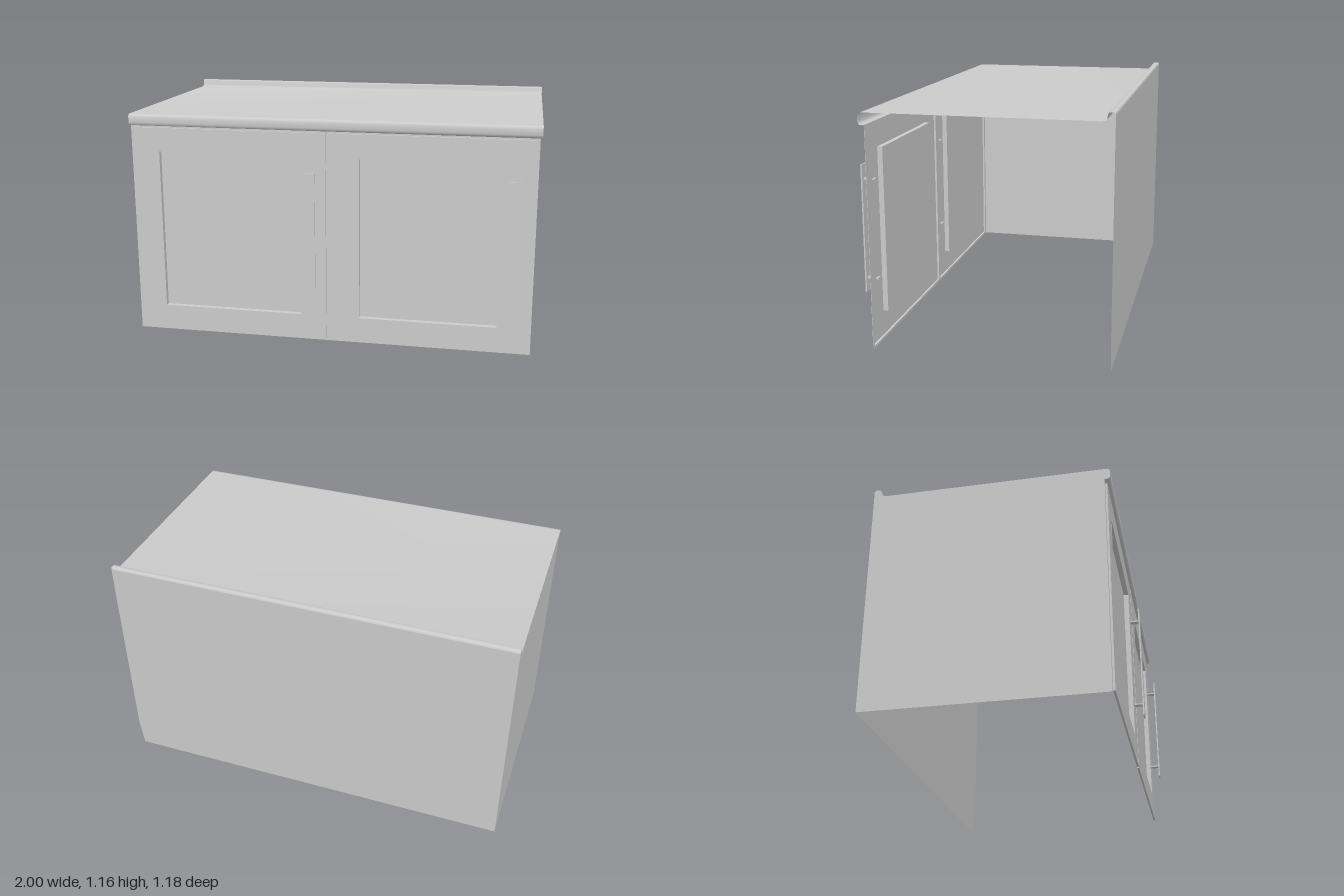
import * as THREE from 'three';
import { toCreasedNormals } from 'three/addons/utils/BufferGeometryUtils.js';

const material = new THREE.MeshStandardMaterial({ color: 0xcccccc, side: THREE.DoubleSide });

// Skin of quads between consecutive loops of [x, y, z] points
function skin(loops, closed) {
  const pos = [];
  for (let k = 0; k < loops.length - 1; k++) {
    const A = loops[k], B = loops[k + 1], n = A.length;
    for (let i = 0; i < (closed ? n : n - 1); i++) {
      const j = (i + 1) % n;
      pos.push(...A[i], ...A[j], ...B[j], ...A[i], ...B[j], ...B[i]);
    }
  }
  const g = new THREE.BufferGeometry();
  g.setAttribute('position', new THREE.Float32BufferAttribute(pos, 3));
  g.computeVertexNormals();
  return g;
}

const rect = (x0, x1, y0, y1, z) => [[x0, y0, z], [x1, y0, z], [x1, y1, z], [x0, y1, z]];

function polygon(points) {
  return new THREE.ShapeGeometry(new THREE.Shape(points.map(p => new THREE.Vector2(...p))));
}

function add(parent, name, geometry, x = 0, y = 0, z = 0) {
  const mesh = new THREE.Mesh(geometry, material);
  mesh.name = name;
  mesh.position.set(x, y, z);
  parent.add(mesh);
  return mesh;
}

export function createModel() {
  const model = new THREE.Group();
  model.name = 'cabinet';

  // Worktop: rounded front lip, flat top and raised rear edge, as [z, y]
  const profile = [
    [0.53, 1.066], [0.548, 1.067], [0.554, 1.072], [0.557, 1.082], [0.557, 1.108],
    [0.554, 1.117], [0.547, 1.122], [0.53, 1.123], [-0.53, 1.123], [-0.546, 1.126],
    [-0.552, 1.134], [-0.553, 1.152], [-0.556, 1.159], [-0.562, 1.162],
    [-0.578, 1.162], [-0.584, 1.159], [-0.587, 1.152],
  ];
  const top = skin(profile.map(([z, y]) => [[-1, y, z], [1, y, z]]), false);
  add(model, 'worktop', toCreasedNormals(top, 0.7));

  // Closed side, following the worktop profile; the other side stays open
  const side = polygon([[-0.587, 0], [0.53, 0], ...profile]);
  side.rotateY(-Math.PI / 2);
  add(model, 'sidePanel', side, -1);

  // Back panel with a slightly drawn-in corner on the open side
  const back = polygon([[-0.985, 0], [1, 0], [1, 1.152], [-1, 1.152], [-1, 0.15]]);
  back.rotateY(Math.PI);
  add(model, 'backPanel', back, 0, 0, -0.587);

  // Doors: face frame, raised door and recessed panel in one pressed skin
  const doors = [
    { name: 'rightDoor', frame: [-1, -0.006], door: [-0.98, -0.015], panel: [-0.855, -0.145], handle: -0.085 },
    { name: 'leftDoor', frame: [-0.006, 0.99], door: [0.003, 0.97], panel: [0.15, 0.825], handle: 0.886 },
  ];
  for (const d of doors) {
    const group = new THREE.Group();
    group.name = d.name;
    model.add(group);
    add(group, 'doorFront', skin([
      rect(...d.frame, 0, 1.066, 0.53),
      rect(...d.door, 0.012, 1.056, 0.53),
      rect(...d.door, 0.012, 1.056, 0.54),
      rect(...d.panel, 0.133, 0.937, 0.54),
      rect(...d.panel, 0.133, 0.937, 0.515),
    ], true));
    const [x0, x1] = d.panel;
    add(group, 'doorPanel', new THREE.PlaneGeometry(x1 - x0, 0.804), (x0 + x1) / 2, 0.535, 0.515);

    // Flat bar handle on two posts
    add(group, 'handleBar', new THREE.BoxGeometry(0.053, 0.612, 0.007), d.handle, 0.561, 0.5865);
    for (const y of [0.32, 0.798]) {
      add(group, 'handlePost', new THREE.BoxGeometry(0.028, 0.007, 0.055), d.handle, y, 0.5565);
    }
  }
  return model;
}
